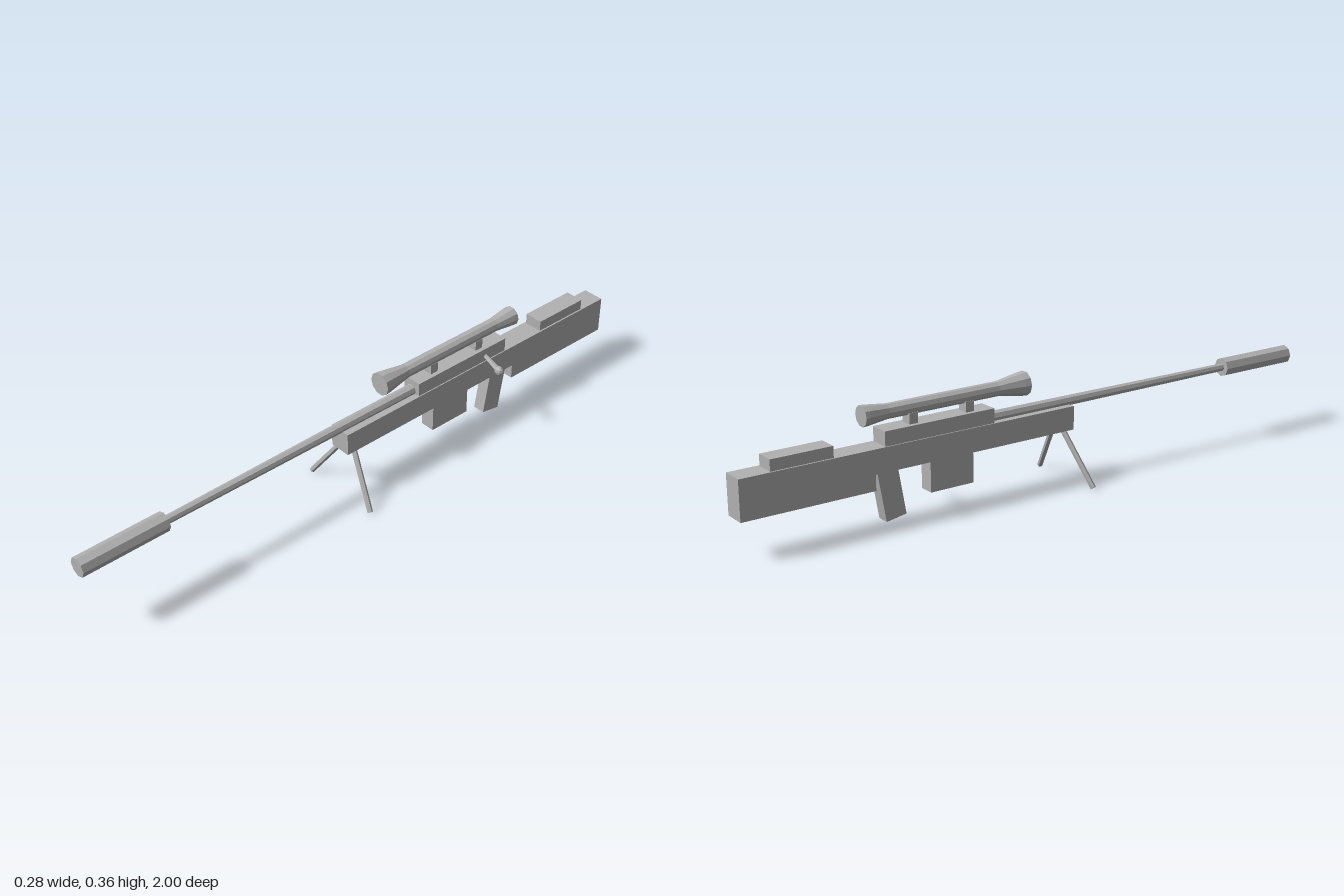
import * as THREE from 'three';

const gray = new THREE.MeshStandardMaterial({ color: 0xb2b2b2, flatShading: true });
gray.name = 'gray metal';

export function createModel() {
  const model = new THREE.Group();
  model.name = 'rifle';

  const add = (name, geometry) => {
    const mesh = new THREE.Mesh(geometry, gray);
    mesh.name = name;
    model.add(mesh);
    return mesh;
  };

  // Box centred on x = 0, given half width and y / z ranges
  const box = (name, halfX, y0, y1, z0, z1) => {
    const m = add(name, new THREE.BoxGeometry(halfX * 2, y1 - y0, z1 - z0));
    m.position.set(0, (y0 + y1) / 2, (z0 + z1) / 2);
    return m;
  };

  // Turned part along z from [radius, z] pairs in rising z
  const turned = (name, y, sides, profile) => {
    const pts = profile.map(([r, z]) => new THREE.Vector2(r, z));
    const g = new THREE.LatheGeometry(pts, sides, Math.PI / 2);
    g.rotateX(Math.PI / 2);
    const m = add(name, g);
    m.position.y = y;
    return m;
  };

  // Tapered rod between two points
  const rod = (name, a, b, r0, r1, sides) => {
    const from = new THREE.Vector3(...a), to = new THREE.Vector3(...b);
    const dir = to.clone().sub(from);
    const m = add(name, new THREE.CylinderGeometry(r1, r0, dir.length(), sides));
    m.position.copy(from).add(to).multiplyScalar(0.5);
    m.quaternion.setFromUnitVectors(new THREE.Vector3(0, 1, 0), dir.normalize());
    return m;
  };

  // Body and stock
  box('lowerReceiver', 0.035, 0.163, 0.236, -0.59, 0.095);
  box('upperReceiver', 0.0315, 0.236, 0.28, -0.555, -0.19);
  box('stock', 0.035, 0.116, 0.236, -1, -0.59);
  box('cheekRest', 0.03, 0.236, 0.27, -0.905, -0.715);
  box('magazine', 0.024, 0.068, 0.163, -0.405, -0.26);

  // Slanted grip
  const grip = box('grip', 0.02, 0, 0.165, -0.033, 0.033);
  grip.rotation.x = -0.167;
  grip.position.set(0, 0.098, -0.532);

  // Barrel and muzzle
  turned('barrel', 0.245, 8, [[0, -0.2], [0.018, -0.2], [0.013, 0.73], [0, 0.73]]);
  turned('suppressor', 0.245, 8, [[0, 0.72], [0.03, 0.72], [0.03, 1], [0, 1]]);

  // Scope with flared ends, on two mounts
  turned('scope', 0.326, 10, [
    [0, -0.61], [0.031, -0.61], [0.03, -0.595], [0.022, -0.53],
    [0.022, -0.16], [0.035, -0.08], [0.037, -0.06], [0, -0.06],
  ]);
  for (const z of [-0.265, -0.453]) box('scopeMount', 0.018, 0.28, 0.312, z - 0.014, z + 0.014);

  // Bolt handle with knob
  rod('boltHandle', [0.025, 0.255, -0.47], [0.088, 0.231, -0.47], 0.006, 0.0095, 6);
  const knob = add('boltKnob', new THREE.SphereGeometry(0.016, 8, 6));
  knob.scale.z = 0.8;
  knob.position.set(0.092, 0.229, -0.47);

  // Bipod legs
  for (const side of [-1, 1]) {
    rod('bipodLeg', [side * 0.022, 0.168, 0.062], [side * 0.133, 0.006, 0.094], 0.0085, 0.0085, 6);
  }

  return model;
}
